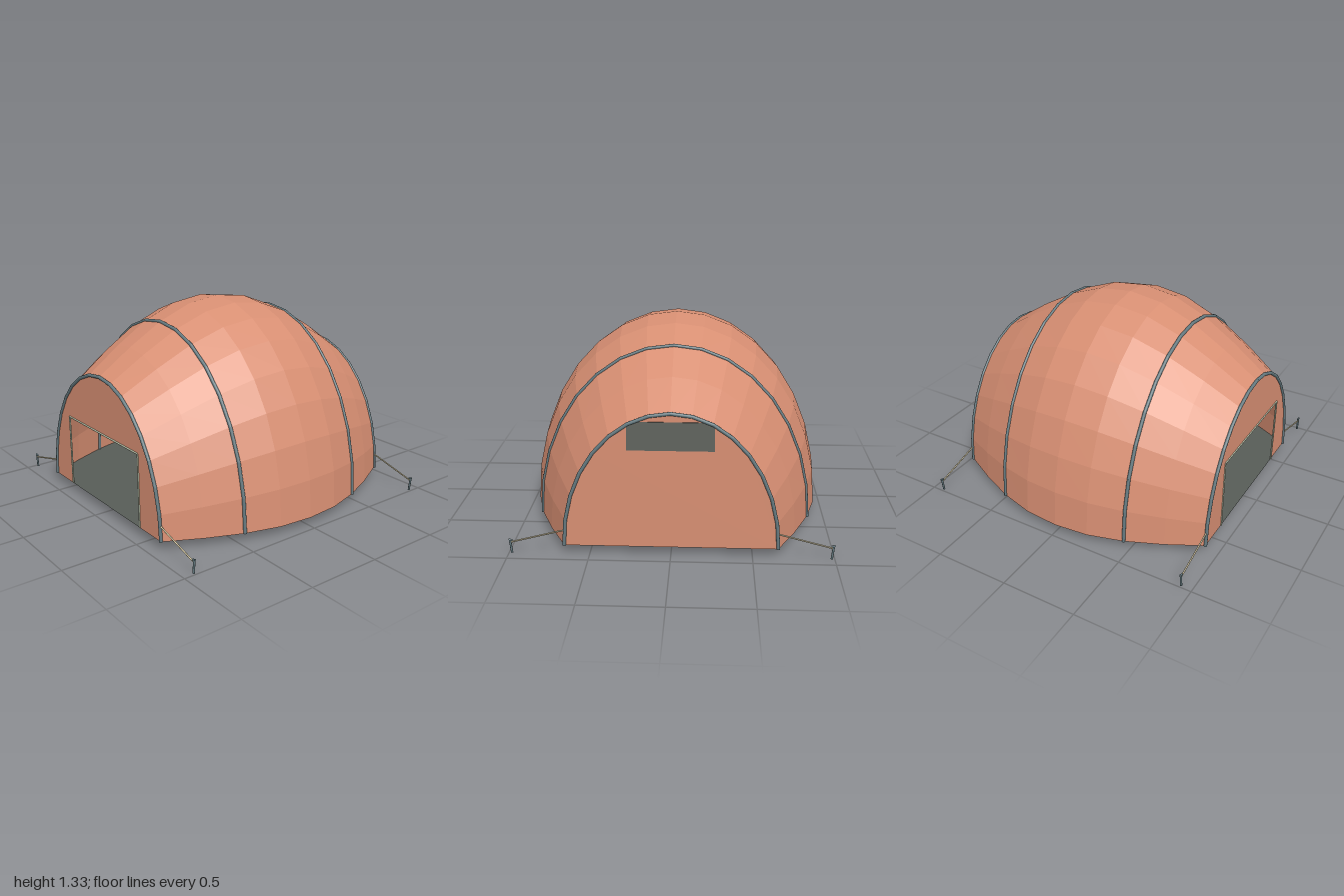
import * as THREE from 'three';

const mat = (name, color, double) => {
  const m = new THREE.MeshStandardMaterial({ color });
  m.name = name;
  if (double) m.side = THREE.DoubleSide;
  return m;
};

const BASE = 0.058; // height of the groundsheet
const END = 0.925;  // z of the end walls
const SIDES = 16;   // facets over each arch

// Arch sizes from the middle to one end: z, half width, height
const HALF = [[0, 0.963, 1.272], [0.23, 0.943, 1.242], [0.463, 0.877, 1.152], [0.695, 0.777, 1.017], [END, 0.656, 0.862]];
const SECTIONS = [...HALF.slice(1).reverse(), ...HALF.map(([z, w, h]) => [-z, w, h])];

const archPoints = ([z, w, h]) => Array.from({ length: SIDES + 1 }, (_, k) => {
  const t = (k / SIDES) * Math.PI;
  return new THREE.Vector3(w * Math.cos(t), BASE + h * Math.sin(t), z);
});

export function createModel() {
  const model = new THREE.Group();
  model.name = 'tent';
  const fabric = mat('terracotta fabric', 0xd88f73, true);
  const sheet = mat('grey groundsheet', 0x575c57, true);
  const mesh = mat('grey window mesh', 0x61645e, true);
  const pole = mat('slate pole', 0x64797f);
  const cord = mat('khaki cord', 0xcfc3a0);
  const binding = mat('sage binding', 0xb3bca4);

  const add = (name, geometry, material, parent = model) => {
    const m = new THREE.Mesh(geometry, material);
    m.name = name;
    parent.add(m);
    return m;
  };
  // Straight round bar between two points
  const rod = (name, a, b, r, material, parent) => {
    const dir = b.clone().sub(a);
    const m = add(name, new THREE.CylinderGeometry(r, r, dir.length(), 16), material, parent);
    m.position.copy(a).add(b).multiplyScalar(0.5);
    m.quaternion.setFromUnitVectors(new THREE.Vector3(0, 1, 0), dir.normalize());
    return m;
  };
  const v = (x, y, z) => new THREE.Vector3(x, y, z);

  // Faceted canopy lofted through the arches
  const pos = [], index = [], row = SIDES + 1;
  SECTIONS.forEach(s => archPoints(s).forEach(p => pos.push(p.x, p.y, p.z)));
  for (let i = 0; i < SECTIONS.length - 1; i++) {
    for (let k = 0; k < SIDES; k++) {
      const a = i * row + k, b = a + 1, c = a + row, d = c + 1;
      index.push(a, c, b, b, c, d);
    }
  }
  let shell = new THREE.BufferGeometry();
  shell.setAttribute('position', new THREE.Float32BufferAttribute(pos, 3));
  shell.setIndex(index);
  shell = shell.toNonIndexed();
  shell.computeVertexNormals();
  add('canopy', shell, fabric);

  // End walls, the front one with an open doorway
  const DOOR_W = 0.425, DOOR_H = 0.543;
  const outline = archPoints(SECTIONS[0]).map(p => new THREE.Vector2(p.x, p.y));
  const doorway = [[-DOOR_W, BASE], [-DOOR_W, DOOR_H], [DOOR_W, DOOR_H], [DOOR_W, BASE]]
    .map(([x, y]) => new THREE.Vector2(x, y));
  add('frontWall', new THREE.ShapeGeometry(new THREE.Shape([...outline, ...doorway])), fabric).position.z = END;
  const back = add('backWall', new THREE.ShapeGeometry(new THREE.Shape(outline)), fabric);
  back.rotation.y = Math.PI;
  back.position.z = -END;

  // Binding around the doorway
  const trim = new THREE.Group();
  trim.name = 'doorTrim';
  model.add(trim);
  for (let i = 0; i < 3; i++) {
    const [a, b] = [doorway[i], doorway[i + 1]];
    rod('trimBar', v(a.x, a.y, END), v(b.x, b.y, END), 0.006, binding, trim);
  }

  // Vent window under the rear arch
  const vent = new THREE.Shape([[-0.26, 0.69], [0.26, 0.69], [0.26, 0.845], [0.23, 0.868], [-0.23, 0.868], [-0.26, 0.845]]
    .map(([x, y]) => new THREE.Vector2(x, y)));
  add('rearWindow', new THREE.ExtrudeGeometry(vent, { depth: 0.008, bevelEnabled: false }), mesh).position.z = -END - 0.004;

  // Groundsheet following the feet of the arches
  const feet = [...SECTIONS.map(([z, w]) => new THREE.Vector2(w, -z)),
    ...SECTIONS.slice().reverse().map(([z, w]) => new THREE.Vector2(-w, -z))];
  const floor = add('groundsheet', new THREE.ShapeGeometry(new THREE.Shape(feet)), sheet);
  floor.rotation.x = -Math.PI / 2;
  floor.position.y = BASE;

  // Four arched poles, jointed at every facet
  [0, 2, 6, 8].forEach(i => {
    const arch = new THREE.Group();
    arch.name = 'archPole';
    model.add(arch);
    const pts = archPoints(SECTIONS[i]);
    for (let k = 0; k < SIDES; k++) rod('poleSegment', pts[k], pts[k + 1], 0.011, pole, arch);
    pts.slice(1, -1).forEach(p => add('poleJoint', new THREE.SphereGeometry(0.011, 16, 10), pole, arch).position.copy(p));
  });

  // Guy ropes and T-headed pegs at the corners
  for (const sx of [1, -1]) {
    for (const z of [END, -END]) {
      const guy = new THREE.Group();
      guy.name = 'guyLine';
      model.add(guy);
      rod('rope', v(sx * 0.65, 0.16, z), v(sx * 0.985, 0.072, z), 0.005, cord, guy);
      rod('peg', v(sx * 0.982, 0, z), v(sx * 0.991, 0.088, z), 0.007, pole, guy);
      rod('pegHead', v(sx * 0.977, 0.083, z), v(sx * 0.999, 0.09, z), 0.006, pole, guy);
    }
  }
  return model;
}
